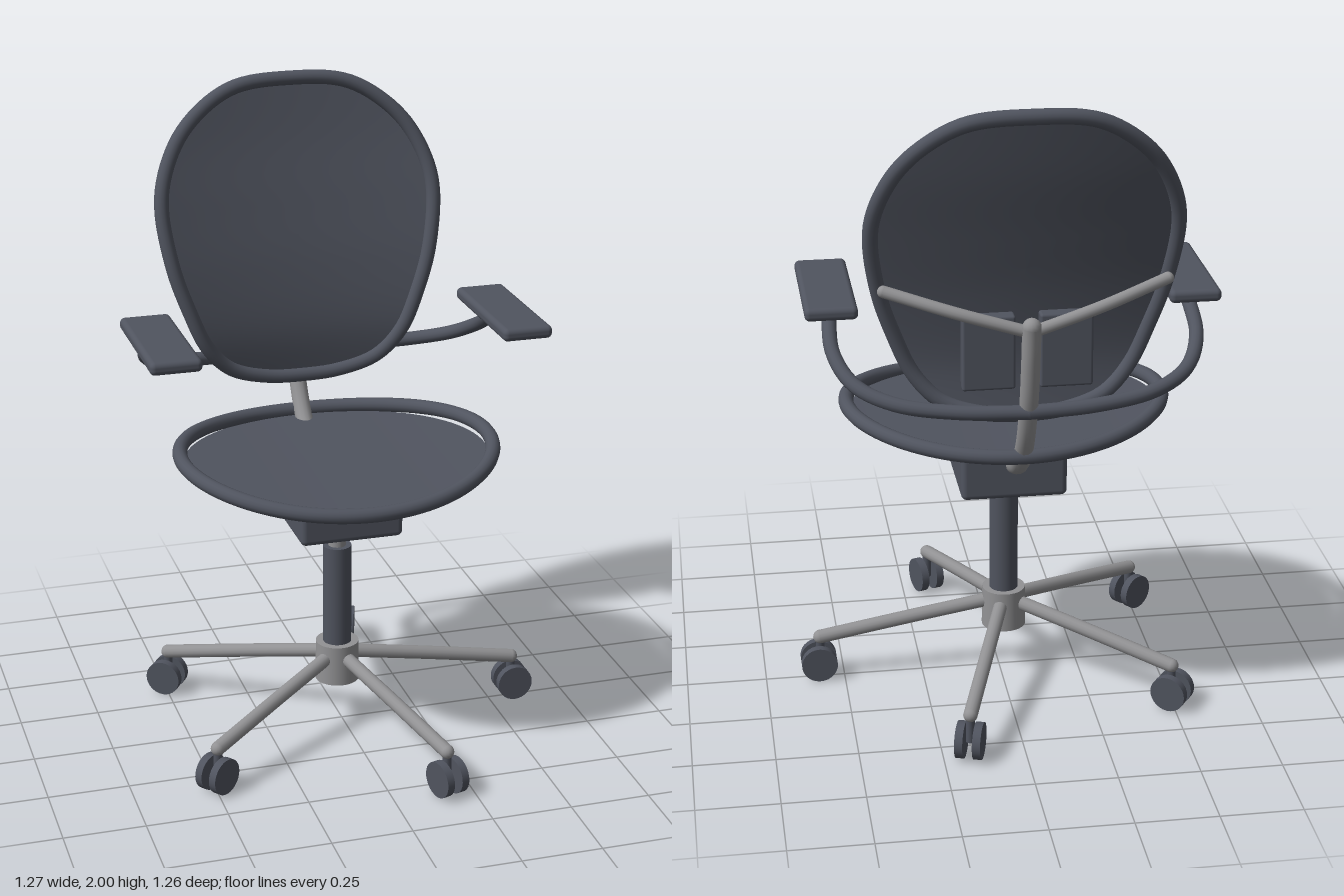
import * as THREE from 'three';
import { RoundedBoxGeometry } from 'three/addons/geometries/RoundedBoxGeometry.js';

const V = (x, y, z) => new THREE.Vector3(x, y, z);

export function createModel() {
  const dark = new THREE.MeshStandardMaterial({ color: 0x50545f, side: THREE.DoubleSide });
  dark.name = 'slate plastic';
  const metal = new THREE.MeshStandardMaterial({ color: 0x929294 });
  metal.name = 'grey metal';

  const chair = new THREE.Group();
  chair.name = 'officeChair';
  chair.position.x = -0.015;

  const add = (name, geo, mat, x = 0, y = 0, z = 0, parent = chair) => {
    const mesh = new THREE.Mesh(geo, mat);
    mesh.name = name;
    mesh.position.set(x, y, z);
    parent.add(mesh);
    return mesh;
  };

  // Bent tube through points; open tubes get rounded ends
  const tube = (name, pts, r, mat, closed = false, parent = chair) => {
    const curve = new THREE.CatmullRomCurve3(pts, closed);
    add(name, new THREE.TubeGeometry(curve, closed ? 120 : 32, r, 14, closed), mat, 0, 0, 0, parent);
    if (!closed) {
      for (const p of [pts[0], pts[pts.length - 1]]) {
        add(name + 'End', new THREE.SphereGeometry(r, 14, 10), mat, p.x, p.y, p.z, parent);
      }
    }
  };

  // Curved sheet: concentric copies of an outline, each point lifted by a rule
  const sheet = (outline, cx, cy, place, rings = 10) => {
    const n = outline.length, pos = [], idx = [];
    for (let k = 0; k <= rings; k++) {
      for (const p of outline) {
        const v = place(cx + (p.x - cx) * k / rings, cy + (p.y - cy) * k / rings);
        pos.push(v.x, v.y, v.z);
      }
    }
    for (let k = 0; k < rings; k++) {
      for (let i = 0; i < n; i++) {
        const a = k * n + i, b = k * n + (i + 1) % n;
        if (k > 0) idx.push(a, b, a + n);
        idx.push(b, b + n, a + n);
      }
    }
    const geo = new THREE.BufferGeometry();
    geo.setAttribute('position', new THREE.Float32BufferAttribute(pos, 3));
    geo.setIndex(idx);
    geo.computeVertexNormals();
    return geo;
  };

  // Five-star base with twin-wheel casters
  add('baseHub', new THREE.CylinderGeometry(0.068, 0.07, 0.13, 32), metal, 0, 0.215, 0);
  for (let i = 0; i < 5; i++) {
    const leg = new THREE.Group();
    leg.name = 'baseLeg';
    leg.rotation.y = -i * Math.PI * 2 / 5;
    chair.add(leg);
    tube('legTube', [V(0.03, 0.238, 0), V(0.3, 0.192, 0), V(0.59, 0.14, 0)], 0.022, metal, false, leg);
    add('casterStem', new THREE.CylinderGeometry(0.014, 0.014, 0.08, 14), dark, 0.59, 0.09, 0, leg);
    for (const s of [-1, 1]) {
      const wheel = add('casterWheel', new THREE.CylinderGeometry(0.057, 0.057, 0.025, 28), dark, 0.595, 0.057, s * 0.027, leg);
      wheel.rotation.x = Math.PI / 2;
    }
  }

  // Gas lift and mechanism housing
  add('columnSleeve', new THREE.CylinderGeometry(0.045, 0.045, 0.33, 32), dark, 0, 0.445, 0);
  add('piston', new THREE.CylinderGeometry(0.028, 0.028, 0.12, 24), metal, 0, 0.64, 0);
  add('mechanismBox', new RoundedBoxGeometry(0.325, 0.17, 0.41, 4, 0.018), dark, 0, 0.775, -0.03);

  // Seat: flat panel inside a gently waved oval rim
  const oval = (rx, rz, n) => Array.from({ length: n }, (_, i) => {
    const a = i / n * Math.PI * 2;
    return new THREE.Vector2(Math.cos(a) * rx, Math.sin(a) * rz);
  });
  const rimHeight = (x, z) => 0.898 - 0.035 * z + 0.042 * (x / 0.488) ** 2;
  tube('seatRim', oval(0.488, 0.423, 32).map(p => V(p.x, rimHeight(p.x, p.y), p.y)), 0.023, dark, true);
  add('seatPanel', sheet(oval(0.478, 0.413, 72), 0, 0,
    (x, z) => V(x, 0.894 - 0.015 * z + 0.014 * (x / 0.48) ** 2, z)), dark);

  // Backrest: egg outline bent along an S-shaped side profile
  const half = [[0, 1.978], [0.18, 1.962], [0.3, 1.895], [0.385, 1.8], [0.44, 1.65], [0.422, 1.45],
    [0.372, 1.29], [0.318, 1.17], [0.24, 1.088], [0.12, 1.048], [0, 1.04]];
  const loop = [...half, ...half.slice(1, -1).reverse().map(([x, y]) => [-x, y])];
  const outline = new THREE.CatmullRomCurve3(loop.map(([x, y]) => V(x, y, 0)), true).getPoints(80).slice(0, -1);
  const profile = new THREE.SplineCurve([[1.03, -0.4], [1.2, -0.385], [1.4, -0.41], [1.6, -0.455],
    [1.8, -0.505], [2, -0.545]].map(([y, z]) => new THREE.Vector2(y, z)));
  const samples = profile.getPoints(80);
  const depth = y => {
    const i = Math.max(1, samples.findIndex(p => p.x >= y));
    const a = samples[i - 1], b = samples[i];
    return a.y + (b.y - a.y) * (y - a.x) / (b.x - a.x);
  };
  const onBack = (x, y) => V(x, y, depth(y) + 0.035 * (x / 0.44) ** 2);
  tube('backRim', outline.map(p => onBack(p.x, p.y)), 0.023, dark, true);
  add('backPanel', sheet(outline, 0, 1.5, onBack, 14), dark);

  // Spine rising from the mechanism to the backrest
  tube('spine', [V(0, 0.79, -0.2), V(0, 0.85, -0.33), V(0, 0.95, -0.425), V(0, 1.1, -0.495),
    V(0, 1.24, -0.528), V(0, 1.365, -0.546)], 0.028, metal);

  // Mirrored parts: back struts, lumbar plates, arm tubes and arm pads
  for (const s of [-1, 1]) {
    const side = s > 0 ? 'left' : 'right';
    tube(side + 'BackStrut', [V(0, 1.345, -0.535), V(s * 0.21, 1.405, -0.51), V(s * 0.41, 1.458, -0.447)], 0.018, metal);
    add(side + 'LumbarPlate', new RoundedBoxGeometry(0.155, 0.225, 0.045, 3, 0.008), dark, s * 0.113, 1.265, -0.459);
    tube(side + 'ArmTube', [V(s * 0.543, 1.285, -0.11), V(s * 0.543, 1.205, -0.26), V(s * 0.49, 1.145, -0.37),
      V(s * 0.38, 1.11, -0.445), V(s * 0.2, 1.093, -0.49), V(0, 1.088, -0.505)], 0.022, dark);
    add(side + 'ArmPad', new RoundedBoxGeometry(0.157, 0.04, 0.457, 4, 0.016), dark, s * 0.543, 1.32, -0.02);
  }

  const model = new THREE.Group();
  model.name = 'model';
  model.add(chair);
  return model;
}
